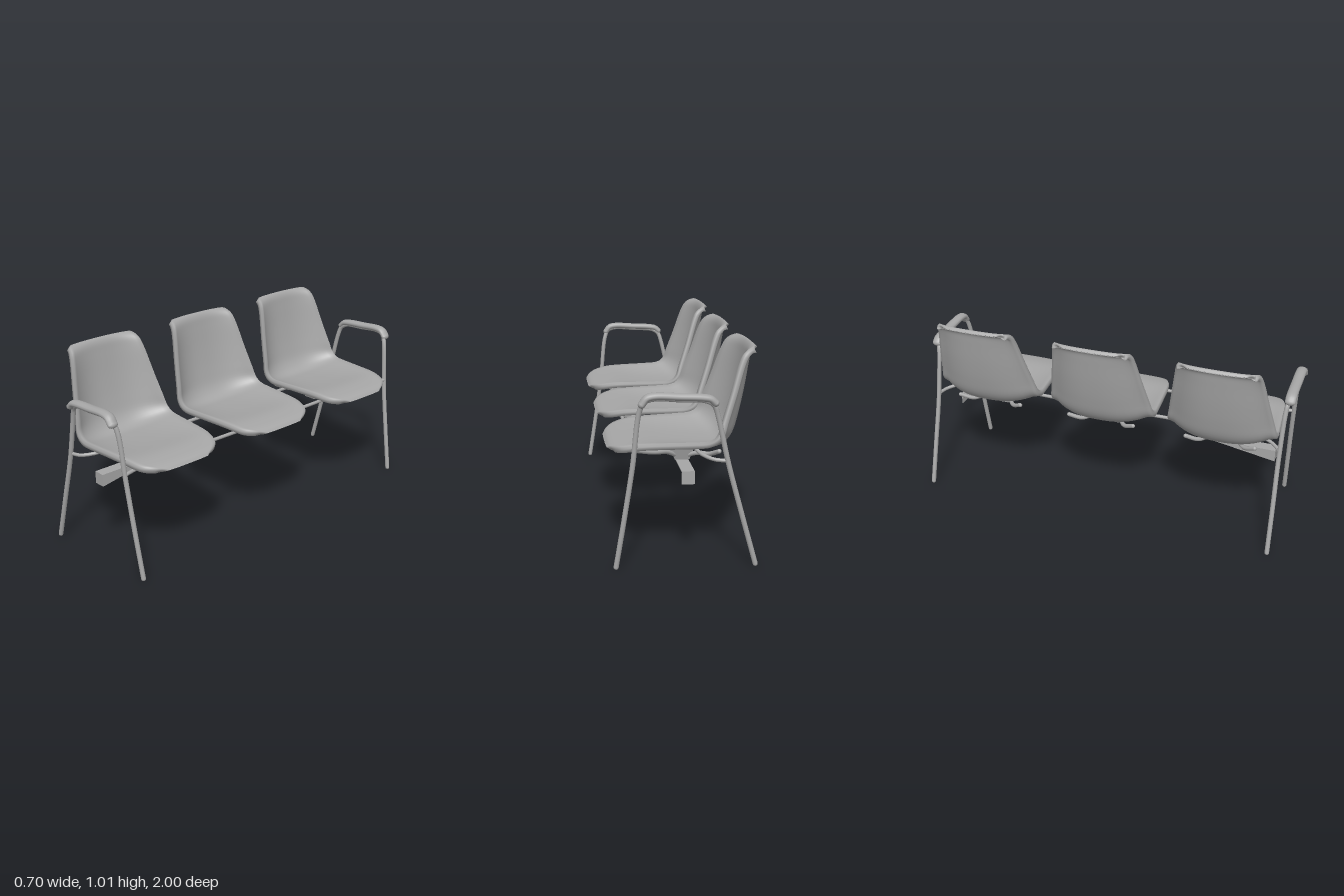
import * as THREE from 'three';

const metal = new THREE.MeshStandardMaterial({ color: 0xa6a6a6 });
metal.name = 'grey';
metal.side = THREE.DoubleSide;
const V = (x, y, z) => new THREE.Vector3(x, y, z);

function add(parent, name, geometry) {
  const mesh = new THREE.Mesh(geometry, metal);
  mesh.name = name;
  parent.add(mesh);
  return mesh;
}

// Round tube through points, with rounded ends
function tube(parent, name, points, radius, steps = 32) {
  const curve = new THREE.CatmullRomCurve3(points.map(p => V(...p)), false, 'centripetal');
  const group = new THREE.Group();
  group.name = name;
  parent.add(group);
  add(group, name + 'Tube', new THREE.TubeGeometry(curve, steps, radius, 12));
  for (const t of [0, 1]) {
    add(group, name + 'End', new THREE.SphereGeometry(radius, 12, 8)).position.copy(curve.getPoint(t));
  }
  return group;
}

// Each row: centre x, centre y, rim x, rim y, half width; from back top to front lip
const shellRows = [
  [-0.352, 1.0, -0.345, 1.0, 0.14],
  [-0.335, 1.01, -0.32, 1.008, 0.185],
  [-0.318, 0.985, -0.275, 0.985, 0.203],
  [-0.308, 0.93, -0.245, 0.93, 0.216],
  [-0.288, 0.81, -0.203, 0.8, 0.24],
  [-0.262, 0.69, -0.163, 0.685, 0.262],
  [-0.232, 0.6, -0.142, 0.625, 0.274],
  [-0.18, 0.552, -0.105, 0.599, 0.277],
  [-0.09, 0.55, -0.04, 0.594, 0.272],
  [0.06, 0.562, 0.08, 0.592, 0.262],
  [0.2, 0.578, 0.2, 0.588, 0.25],
  [0.285, 0.572, 0.28, 0.574, 0.226],
  [0.33, 0.56, 0.325, 0.56, 0.175],
  [0.35, 0.542, 0.348, 0.543, 0.12],
];

// Dished shell, swept as closed cross-sections with a rolled rim
function shellGeometry() {
  const centre = new THREE.CatmullRomCurve3(shellRows.map(r => V(r[0], r[1], r[4])), false, 'catmullrom');
  const rim = new THREE.CatmullRomCurve3(shellRows.map(r => V(r[2], r[3], r[4])), false, 'catmullrom');
  const section = [];
  for (let k = -10; k <= 10; k++) section.push([k / 10, 0]);
  section.push([1.03, -0.012], [1.02, -0.03], [0.96, -0.028]);
  for (let k = 8; k >= -8; k--) section.push([k / 9, -0.02]);
  section.push([-0.96, -0.028], [-1.02, -0.03], [-1.03, -0.012]);

  const rings = 65, n = section.length, pos = [], index = [];
  for (let i = 0; i < rings; i++) {
    const t = i / (rings - 1);
    const c = centre.getPoint(t), r = rim.getPoint(t);
    const a = centre.getPoint(Math.max(0, t - 0.01)), b = centre.getPoint(Math.min(1, t + 0.01));
    const len = Math.hypot(b.x - a.x, b.y - a.y);
    const nx = -(b.y - a.y) / len, ny = (b.x - a.x) / len;
    const thick = Math.min(1, Math.sqrt(Math.min(i, rings - 1 - i) / 3));
    for (const [v, off] of section) {
      const k = Math.pow(Math.min(1, Math.abs(v)), 2.6), d = off * thick;
      pos.push(c.x + (r.x - c.x) * k + nx * d, c.y + (r.y - c.y) * k + ny * d, c.z * v);
    }
  }
  for (let i = 0; i < rings - 1; i++) {
    for (let j = 0; j < n; j++) {
      const a = i * n + j, b = i * n + (j + 1) % n;
      index.push(a, b, a + n, b, b + n, a + n);
    }
  }
  const g = new THREE.BufferGeometry();
  g.setAttribute('position', new THREE.Float32BufferAttribute(pos, 3));
  g.setIndex(index);
  g.computeVertexNormals();
  return g;
}

// Tapered saddle under each seat
function saddleGeometry() {
  const g = new THREE.BoxGeometry(0.07, 0.075, 0.12);
  const p = g.attributes.position;
  for (let i = 0; i < p.count; i++) {
    if (p.getY(i) > 0) p.setXYZ(i, p.getX(i) * 1.7, p.getY(i), p.getZ(i) * 1.35);
  }
  g.computeVertexNormals();
  return g;
}

// Beam end whose underside slopes up to nothing towards the inside
function wedgeGeometry() {
  const s = new THREE.Shape([[0.58, 0.45], [0.58, 0.444], [0.91, 0.387], [0.91, 0.45]]
    .map(p => new THREE.Vector2(...p)));
  const g = new THREE.ExtrudeGeometry(s, { depth: 0.06, bevelEnabled: false });
  return g.rotateY(-Math.PI / 2).translate(0.015, 0, 0);
}

export function createModel() {
  const model = new THREE.Group();
  model.name = 'threeSeatBench';
  const shell = shellGeometry(), saddle = saddleGeometry();

  // Seats and their supports
  for (const z of [-0.645, 0, 0.645]) {
    const seat = new THREE.Group();
    seat.name = 'seat';
    seat.position.z = z;
    model.add(seat);
    add(seat, 'seatShell', shell);
    add(seat, 'saddle', saddle).position.set(-0.015, 0.488, 0);
    for (const s of [-1, 1]) {
      tube(seat, 'frontSupportArm',
        [[0.225, 0.545, 0.2 * s], [0.13, 0.518, 0.15 * s], [0.06, 0.5, 0.09 * s], [0, 0.462, 0.04 * s]], 0.011, 16);
      tube(seat, 'rearSupportArm',
        [[-0.17, 0.52, 0.18 * s], [-0.135, 0.492, 0.12 * s], [-0.08, 0.487, 0.08 * s], [-0.02, 0.462, 0.04 * s]], 0.011, 16);
    }
  }

  // Long rods, curving out to the legs at both ends
  tube(model, 'rearRod', [[-0.185, 0.512, -0.95], [-0.13, 0.515, -0.935], [-0.08, 0.525, -0.88], [-0.06, 0.535, -0.78],
    [-0.06, 0.537, 0], [-0.06, 0.535, 0.78], [-0.08, 0.525, 0.88], [-0.13, 0.515, 0.935], [-0.185, 0.512, 0.95]], 0.009, 80);
  tube(model, 'frontRod', [[0.243, 0.54, -0.935], [0.228, 0.542, -0.86], [0.225, 0.542, 0],
    [0.228, 0.542, 0.86], [0.243, 0.54, 0.935]], 0.009, 60);

  // Centre beam stubs
  add(model, 'beamEnd', wedgeGeometry());
  add(model, 'beamPlate', new THREE.BoxGeometry(0.06, 0.005, 0.29)).position.set(-0.015, 0.448, -0.745);
  add(model, 'beamCap', new THREE.BoxGeometry(0.06, 0.063, 0.004)).position.set(-0.015, 0.419, -0.889);

  // End frames: both legs and the arm in one bent tube, with a pad on top
  for (const s of [-1, 1]) {
    const frame = new THREE.Group();
    frame.name = 'endFrame';
    model.add(frame);
    tube(frame, 'legFrame', [[-0.321, 0.012, 0.96 * s], [-0.255, 0.25, 0.957 * s], [-0.188, 0.5, 0.953 * s],
      [-0.135, 0.73, 0.957 * s], [-0.118, 0.775, 0.962 * s], [-0.08, 0.798, 0.967 * s], [0.03, 0.806, 0.97 * s],
      [0.15, 0.814, 0.97 * s], [0.195, 0.8, 0.965 * s], [0.216, 0.755, 0.955 * s],
      [0.246, 0.5, 0.94 * s], [0.284, 0.25, 0.93 * s], [0.323, 0.012, 0.92 * s]], 0.012, 90);
    const pad = tube(frame, 'armPad', [[-0.121, 0.788, 0], [-0.1, 0.806, 0], [-0.06, 0.814, 0], [0.04, 0.82, 0],
      [0.15, 0.826, 0], [0.185, 0.818, 0], [0.208, 0.79, 0]], 0.017, 40);
    pad.scale.z = 1.6;
    pad.position.z = 0.972 * s;
  }
  return model;
}
